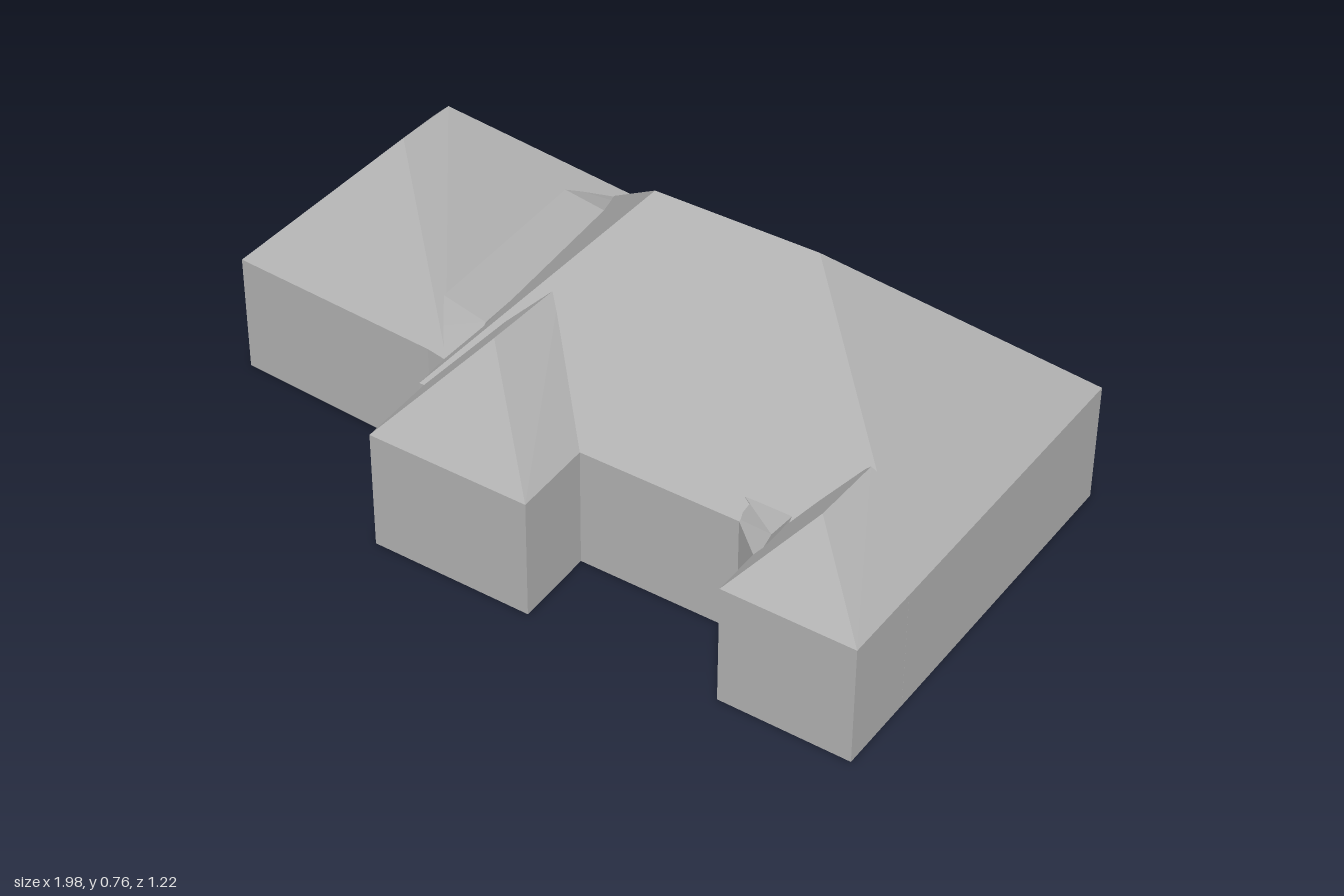
import * as THREE from 'three';

const BASE = 0.01, EAVE = 0.33;

// Faceted solid between two four-cornered rings (back left, front left, front right, back right).
function loft(name, lower, upper, material) {
  const points = [];
  const triangle = (...corners) => {
    const [a, b, c] = corners.map((p) => new THREE.Vector3(...p));
    const area = b.clone().sub(a).cross(c.clone().sub(a)).length();
    if (area > 1e-6) points.push(...corners.flat()); // merged corners leave empty triangles
  };
  const quad = (a, b, c, d) => { triangle(a, b, c); triangle(a, c, d); };
  for (let i = 0; i < 4; i++) {
    const j = (i + 1) % 4;
    quad(lower[i], lower[j], upper[j], upper[i]);
  }
  quad(...upper);
  quad(...[...lower].reverse());
  const geometry = new THREE.BufferGeometry();
  geometry.setAttribute('position', new THREE.Float32BufferAttribute(points, 3));
  geometry.computeVertexNormals();
  const mesh = new THREE.Mesh(geometry, material);
  mesh.name = name;
  return mesh;
}

const ring = (corners, y) => corners.map(([x, z]) => [x, y, z]);

// Walls on a plan with a sloped roof rising to a smaller ring at the given height.
function wing(name, plan, top, height, material) {
  const group = new THREE.Group();
  group.name = name;
  group.add(
    loft(name + 'Walls', ring(plan, BASE), ring(plan, EAVE), material),
    loft(name + 'Roof', ring(plan, EAVE), ring(top, height), material),
  );
  return group;
}

export function createModel() {
  const model = new THREE.Group();
  model.name = 'house';
  const grey = new THREE.MeshStandardMaterial({ color: 0xb0b0b0 });
  grey.name = 'plain grey';

  // Main hall, ridge running left to right
  const west = [0.03, -0.065], east = [0.46, -0.045];
  model.add(wing('mainHall',
    [[-0.37, -0.54], [-0.36, 0.33], [0.933, 0.4], [0.985, -0.46]],
    [west, west, east, east], 0.77, grey));

  // The other wings have ridges running back to front
  const hipped = (name, plan, back, front, height) =>
    model.add(wing(name, plan, [back, front, front, back], height, grey));
  hipped('sideWing',
    [[-0.95, -0.61], [-0.995, 0.15], [-0.36, 0.22], [-0.34, -0.57]],
    [-0.68, -0.29], [-0.695, -0.12], 0.63);
  hipped('entranceBay',
    [[-0.34, -0.1], [-0.35, 0.545], [0.08, 0.57], [0.1, -0.1]],
    [-0.12, 0.1], [-0.14, 0.345], 0.555);
  hipped('cornerBay',
    [[0.6, 0.2], [0.58, 0.59], [0.92, 0.61], [0.945, 0.2]],
    [0.755, 0.25], [0.74, 0.44], 0.5);

  // Shallow saddle filling the valley between the side wing and main hall
  model.add(wing('valleySaddle',
    [[-0.52, -0.57], [-0.52, 0.19], [-0.3, 0.24], [-0.22, -0.53]],
    [[-0.47, -0.42], [-0.45, 0.1], [-0.3, 0.14], [-0.28, -0.38]], 0.405, grey));

  // Splayed wall corner beside the corner bay
  model.add(wing('splayedCorner',
    [[0.5, 0.34], [0.5, 0.37], [0.6, 0.47], [0.62, 0.34]],
    [[0.5, 0.34], [0.52, 0.35], [0.61, 0.42], [0.62, 0.34]], 0.37, grey));

  return model;
}
